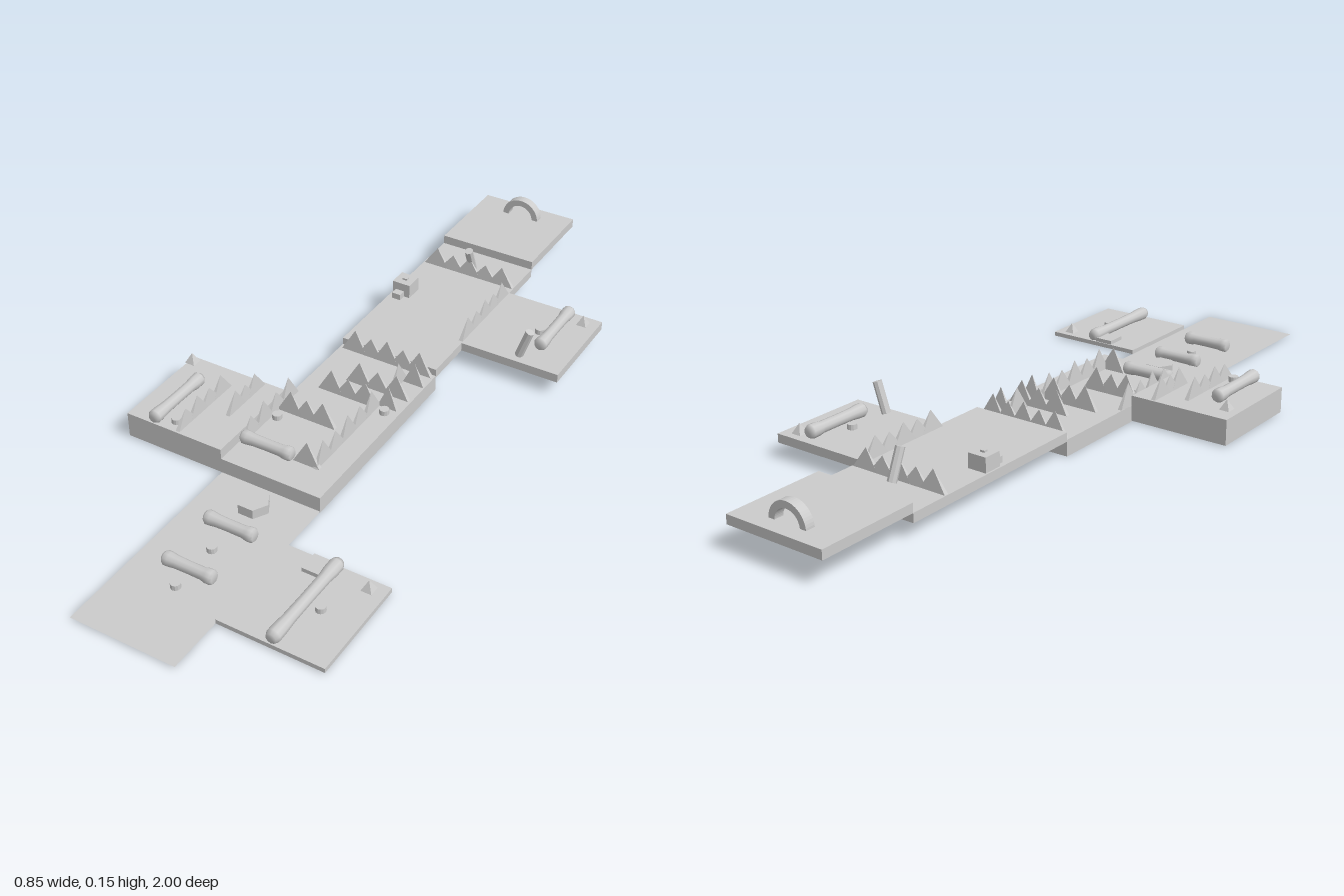
import * as THREE from 'three';

export function createModel() {
  const model = new THREE.Group();
  const mat = new THREE.MeshStandardMaterial({ color: 0xcccccc, flatShading: true });
  const smooth = new THREE.MeshStandardMaterial({ color: 0xcccccc });
  const thin = new THREE.MeshStandardMaterial({ color: 0xcccccc, side: THREE.DoubleSide });

  const add = (name, geometry, x, y, z, material = mat) => {
    const mesh = new THREE.Mesh(geometry, material);
    mesh.name = name;
    mesh.position.set(x, y, z);
    model.add(mesh);
    return mesh;
  };

  // Box given by its limits on each axis
  const slab = (name, x0, x1, y0, y1, z0, z1) =>
    add(name, new THREE.BoxGeometry(x1 - x0, y1 - y0, z1 - z0),
      (x0 + x1) / 2, (y0 + y1) / 2, (z0 + z1) / 2);

  // Fallen log with swollen ends, lying along x or z on height y
  const log = (x, y, z, length, alongZ, r = 0.017) => {
    const h = length / 2;
    const profile = [[0, -1], [0.8, -1], [1.1, -0.92], [1.08, -0.72], [0.92, -0.55], [0.9, 0],
      [0.94, 0.5], [1.08, 0.75], [1.1, 0.92], [0.8, 1], [0, 1]]
      .map(([a, b]) => new THREE.Vector2(a * r, b * h));
    const geo = new THREE.LatheGeometry(profile, 10);
    if (alongZ) geo.rotateX(Math.PI / 2);
    else geo.rotateZ(Math.PI / 2);
    add('log', geo, x, y + r, z, smooth);
  };

  // Row of thin four-sided spikes from start to end along one axis
  const spikes = (x0, z0, x1, z1, y, height = 0.055) => {
    const alongZ = Math.abs(z1 - z0) > Math.abs(x1 - x0);
    const length = Math.hypot(x1 - x0, z1 - z0);
    const width = Math.min(0.075, length);
    const count = Math.max(1, Math.round((length - width) / 0.052) + 1);
    for (let i = 0; i < count; i++) {
      const d = count === 1 ? 0.5 : (width / 2 + (length - width) * i / (count - 1)) / length;
      const geo = new THREE.ConeGeometry(Math.SQRT1_2, 1, 4).rotateY(Math.PI / 4);
      const h = height * (i % 2 ? 0.85 : 1);
      geo.scale(alongZ ? 0.012 : width, h, alongZ ? width : 0.012);
      add('spike', geo, x0 + (x1 - x0) * d, y + h / 2, z0 + (z1 - z0) * d);
    }
  };

  const peg = (x, y, z) =>
    add('peg', new THREE.CylinderGeometry(0.013, 0.013, 0.014, 12), x, y + 0.007, z);

  const marker = (x, y, z) =>
    add('marker', new THREE.ConeGeometry(0.02, 0.027, 4).rotateY(Math.PI / 4), x, y + 0.0135, z);

  const post = (x, y, z, rx, rz) => {
    const mesh = add('leaningPost', new THREE.CylinderGeometry(0.012, 0.012, 0.085, 8), x, y + 0.041, z);
    mesh.rotation.set(rx, 0, rz);
  };

  // Main run of platforms, rising toward the back
  add('frontField', new THREE.PlaneGeometry(0.285, 0.58).rotateX(-Math.PI / 2), 0, 0.003, 0.71, thin);
  slab('middlePlatform', -0.1425, 0.1425, 0, 0.045, -0.15, 0.42);
  slab('backPlatform', -0.1425, 0.1425, 0.04, 0.065, -0.72, -0.15);
  slab('endPlatform', -0.1425, 0.1425, 0.065, 0.09, -1, -0.72);

  // Side platforms
  slab('frontLeftPlatform', 0.1425, 0.425, 0.003, 0.015, 0.567, 0.85);
  slab('rightPlatform', -0.427, -0.1425, 0.003, 0.073, 0.135, 0.42);
  const tray = new THREE.BoxGeometry(0.2825, 0.024, 0.285, 10, 1, 10);
  const p = tray.attributes.position;
  for (let i = 0; i < p.count; i++) {
    const bulge = (1 - (p.getX(i) / 0.142) ** 2) * (1 - (p.getZ(i) / 0.143) ** 2);
    if (p.getY(i) < 0) p.setY(i, p.getY(i) - 0.007 * Math.max(0, bulge));
  }
  add('backLeftPlatform', tray, 0.28375, 0.053, -0.435);

  // Front field
  add('hexPedestal', new THREE.CylinderGeometry(0.042, 0.042, 0.026, 6).rotateY(Math.PI / 6), 0, 0.018, 0.49);
  for (const z of [0.587, 0.75]) log(0, 0.003, z, 0.14, false);
  for (const z of [0.663, 0.803]) peg(0, 0.003, z);

  // Front left platform
  log(0.287, 0.013, 0.708, 0.28, true);
  peg(0.325, 0.015, 0.707);
  marker(0.383, 0.016, 0.597);
  slab('lowStep', 0.222, 0.275, 0.015, 0.026, 0.57, 0.625);

  // Spike maze on the middle platform
  const maze = [
    [-0.135, -0.14, 0.135, -0.14], [0.075, -0.11, 0.075, -0.03], [0.08, -0.092, 0.14, -0.092],
    [-0.05, -0.02, 0.135, -0.02], [-0.095, 0.045, 0.08, 0.045], [0.075, 0.03, 0.075, 0.335],
    [0.075, 0.03, 0.13, 0.03], [-0.135, 0.175, 0.035, 0.175], [-0.136, 0.09, -0.136, 0.335],
    [0.01, 0.327, 0.085, 0.327]];
  for (const row of maze) spikes(...row, 0.045, 0.065);
  log(-0.064, 0.044, 0.333, 0.148, false);
  peg(-0.115, 0.045, 0.213);
  peg(0.107, 0.045, 0.057);

  // Right platform
  log(-0.345, 0.073, 0.32, 0.2, true);
  spikes(-0.275, 0.19, -0.275, 0.415, 0.073);
  spikes(-0.205, 0.14, -0.205, 0.3, 0.073);
  marker(-0.406, 0.086, 0.17);
  peg(-0.3, 0.073, 0.385);

  // Back platform
  spikes(-0.14, -0.605, 0.14, -0.605, 0.065);
  spikes(0.136, -0.575, 0.136, -0.3, 0.065);
  post(0, 0.066, -0.615, 0.4, 0);
  slab('crate', -0.138, -0.085, 0.065, 0.105, -0.462, -0.41);
  slab('crateStep', -0.128, -0.102, 0.065, 0.082, -0.41, -0.388);
  slab('crateKnob', -0.118, -0.105, 0.105, 0.11, -0.442, -0.43);

  // Back left platform
  log(0.336, 0.066, -0.462, 0.195, true);
  peg(0.3, 0.065, -0.445);
  marker(0.383, 0.065, -0.543);
  post(0.312, 0.066, -0.322, 0, -0.32);

  // Arch on the end platform, a flat band swept over a half circle
  const band = new THREE.Shape();
  band.absarc(0, 0, 0.056, 0, Math.PI, false);
  band.absarc(0, 0, 0.038, Math.PI, 0, true);
  const arch = new THREE.ExtrudeGeometry(band, { depth: 0.026, bevelEnabled: false, curveSegments: 12 });
  add('arch', arch, 0, 0.088, -0.958);

  return model;
}
